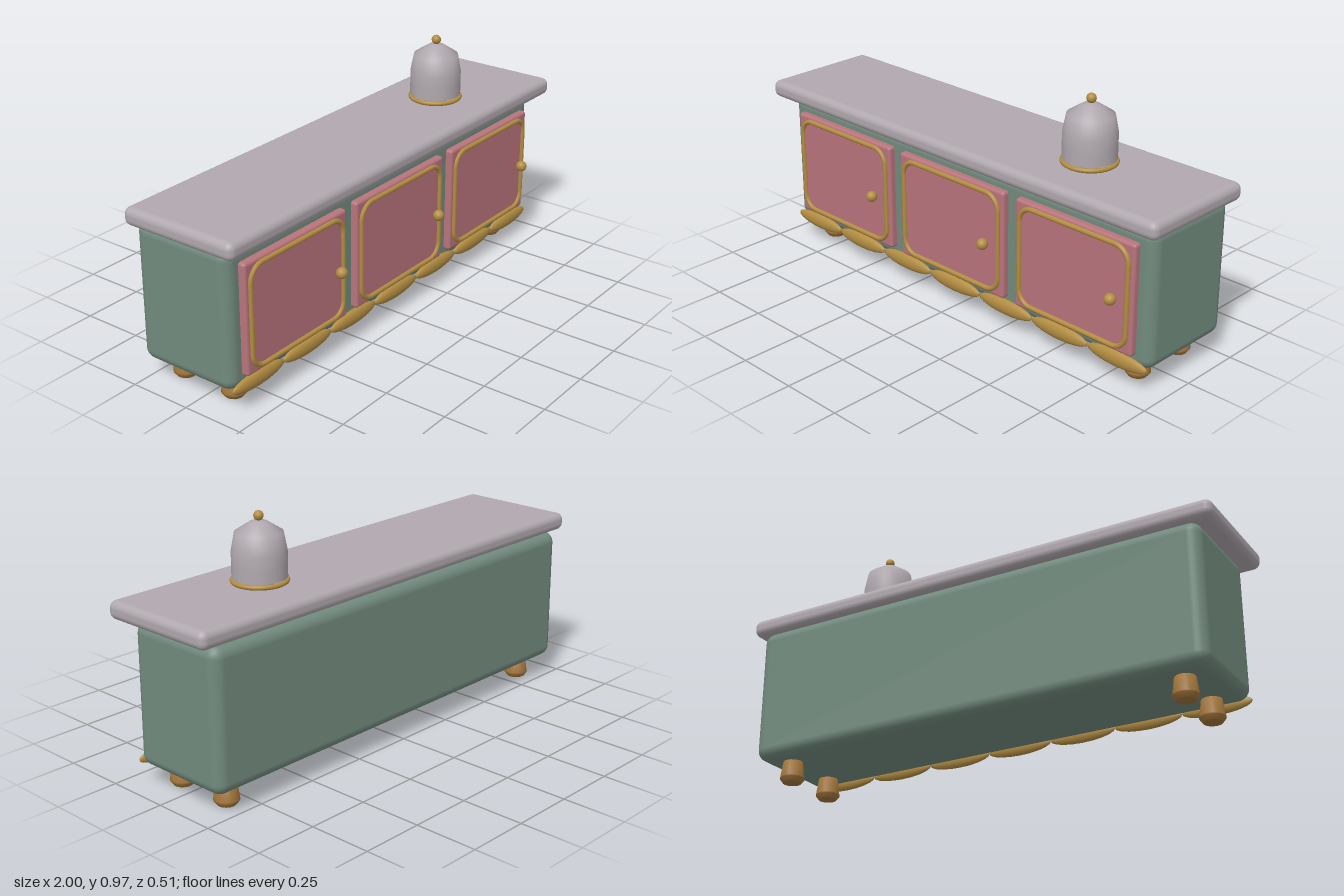
import * as THREE from 'three';
import { RoundedBoxGeometry } from 'three/addons/geometries/RoundedBoxGeometry.js';

const material = (name, color) => {
  const m = new THREE.MeshStandardMaterial({ color });
  m.name = name;
  return m;
};

export function createModel() {
  const green = material('sage green', 0x728b7e);
  const pink = material('dusty pink', 0xb8747c);
  const grey = material('warm grey', 0xb0a8ae);
  const gold = material('gold', 0xb38d42);
  const wood = material('bronze wood', 0xa0743a);

  const model = new THREE.Group();
  model.name = 'sideboard';

  const add = (parent, name, geometry, mat, x = 0, y = 0, z = 0) => {
    const mesh = new THREE.Mesh(geometry, mat);
    mesh.name = name;
    mesh.position.set(x, y, z);
    parent.add(mesh);
    return mesh;
  };
  const lathe = (points, segments) =>
    new THREE.LatheGeometry(points.map(([r, y]) => new THREE.Vector2(r, y)), segments);

  // Cabinet body and worktop
  add(model, 'body', new RoundedBoxGeometry(1.9, 0.545, 0.425, 4, 0.045), green, 0, 0.3575, -0.0425);
  add(model, 'worktop', new RoundedBoxGeometry(2, 0.07, 0.495, 4, 0.028), grey, 0, 0.665, -0.0075);

  // Rounded rectangular moulding swept along a closed path
  const w = 0.252, h = 0.197, r = 0.06;
  const outline = new THREE.Shape();
  outline.absarc(w - r, h - r, r, 0, Math.PI / 2);
  outline.absarc(-w + r, h - r, r, Math.PI / 2, Math.PI);
  outline.absarc(-w + r, -h + r, r, Math.PI, Math.PI * 1.5);
  outline.absarc(w - r, -h + r, r, Math.PI * 1.5, Math.PI * 2);
  outline.closePath();
  const path = outline.getSpacedPoints(120).slice(0, -1).map(p => new THREE.Vector3(p.x, p.y, 0));
  const moulding = new THREE.TubeGeometry(new THREE.CatmullRomCurve3(path, true), 160, 0.01, 8, true);

  // Three doors, each with moulding and knob
  const panel = new RoundedBoxGeometry(0.555, 0.435, 0.045, 3, 0.012);
  const knob = new THREE.SphereGeometry(0.022, 20, 14);
  for (const x of [-0.612, 0, 0.612]) {
    const door = new THREE.Group();
    door.name = 'door';
    door.position.set(x, 0.357, 0);
    add(door, 'doorPanel', panel, pink, 0, 0, 0.175);
    add(door, 'doorMoulding', moulding, gold, 0, 0, 0.199);
    add(door, 'doorKnob', knob, gold, 0.203, 0, 0.231);
    model.add(door);
  }

  // Row of lens-shaped ornaments along the lower front edge
  const lens = new THREE.SphereGeometry(1, 16, 10).rotateZ(Math.PI / 2);
  for (let i = -3; i <= 3; i++) {
    add(model, 'trimOrnament', lens, gold, i * 0.27, 0.098, 0.174).scale.set(0.136, 0.032, 0.019);
  }

  // Tapered feet with a chamfered base
  const foot = lathe([[0, 0], [0.036, 0], [0.036, 0], [0.048, 0.016], [0.047, 0.022],
    [0.037, 0.095], [0, 0.095]], 16);
  for (const x of [-0.83, 0.83]) {
    for (const z of [0.075, -0.157]) add(model, 'foot', foot, wood, x, 0, z);
  }

  // Domed cover with gold rim and finial
  const cloche = new THREE.Group();
  cloche.name = 'domedCover';
  cloche.position.set(0.508, 0, -0.006);
  add(cloche, 'coverBase', new THREE.CylinderGeometry(0.053, 0.053, 0.03, 24), grey, 0, 0.711, 0);
  add(cloche, 'coverRim', new THREE.TorusGeometry(0.099, 0.009, 10, 48).rotateX(Math.PI / 2), gold, 0, 0.712, 0);
  add(cloche, 'coverUnderside', new THREE.CircleGeometry(0.101, 32).rotateX(Math.PI / 2), grey, 0, 0.724, 0);
  add(cloche, 'coverDome', lathe([[0.101, 0.724], [0.101, 0.77], [0.101, 0.82], [0.088, 0.889],
    [0.032, 0.926], [0, 0.931]], 32), grey);
  add(cloche, 'coverFinial', new THREE.SphereGeometry(0.0185, 18, 12), gold, 0, 0.948, 0);
  model.add(cloche);

  return model;
}
